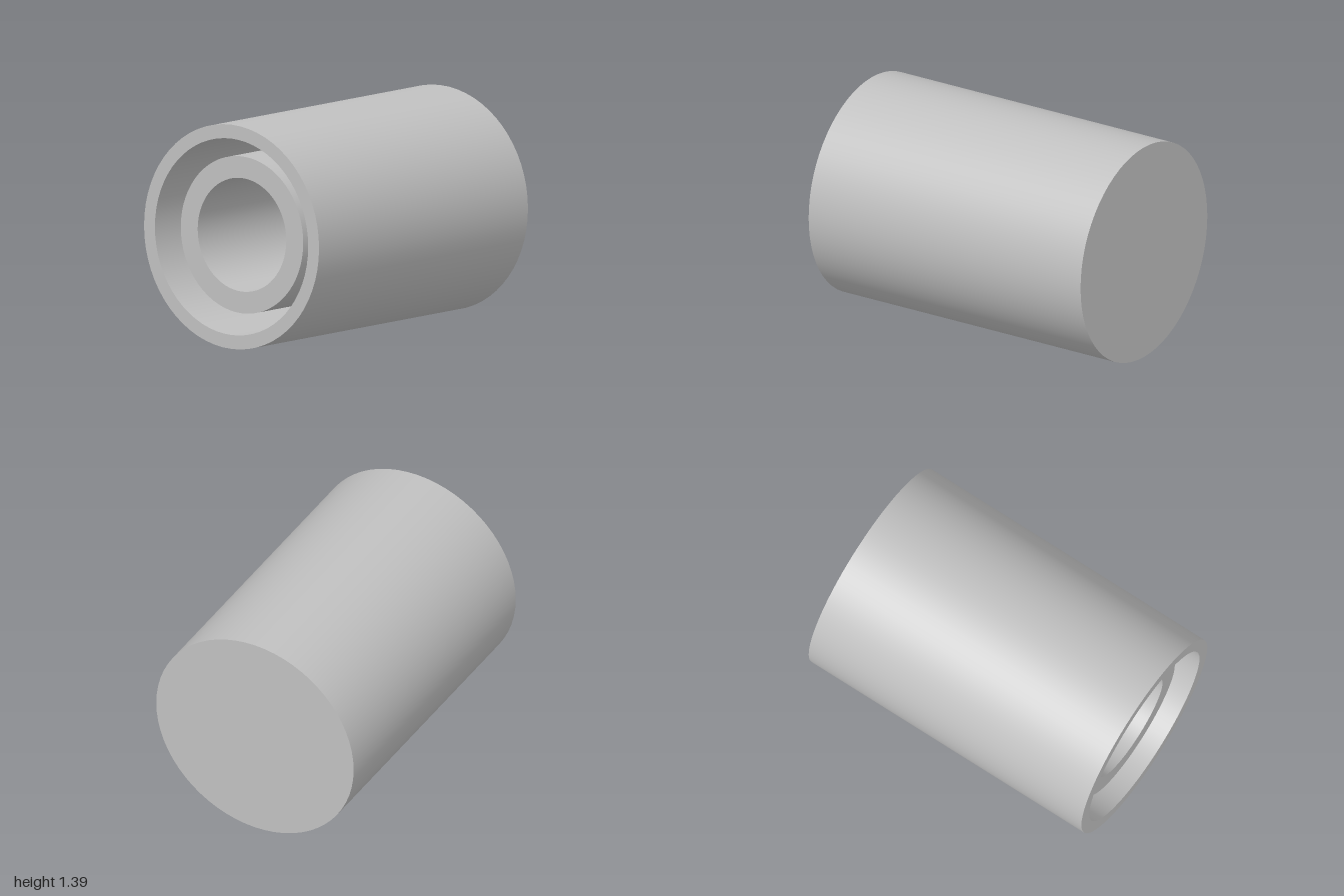
import * as THREE from 'three';
import { mergeGeometries } from 'three/addons/utils/BufferGeometryUtils.js';

const SEGMENTS = 64;

// Revolves a profile of [radius, z] about the z axis, keeping every profile corner sharp
function revolve(profile) {
  const bands = [];
  for (let i = 0; i < profile.length - 1; i++) {
    const ends = [profile[i], profile[i + 1]].map(([r, z]) => new THREE.Vector2(r, z));
    bands.push(new THREE.LatheGeometry(ends, SEGMENTS));
  }
  return mergeGeometries(bands).rotateX(Math.PI / 2);
}

export function createModel() {
  const grey = new THREE.MeshStandardMaterial({ color: 0xc0c0c0 });
  grey.name = 'light grey';

  const outerRadius = 0.693, shellBore = 0.607;
  const tubeRadius = 0.485, tubeBore = 0.351;
  const front = 1, back = -1, floor = -0.9, tubeFront = 0.9;

  const model = new THREE.Group();
  model.name = 'concentricCylinder';
  const add = (name, profile) => {
    const mesh = new THREE.Mesh(revolve(profile), grey);
    mesh.name = name;
    mesh.position.y = outerRadius;
    model.add(mesh);
  };

  // Cup-shaped shell, closed at the back
  add('outerShell', [
    [0, back], [outerRadius, back], [outerRadius, front],
    [shellBore, front], [shellBore, floor], [0, floor],
  ]);

  // Tube standing on the shell floor, recessed behind the rim
  add('innerTube', [
    [tubeRadius, floor], [tubeRadius, tubeFront],
    [tubeBore, tubeFront], [tubeBore, floor],
  ]);

  return model;
}
